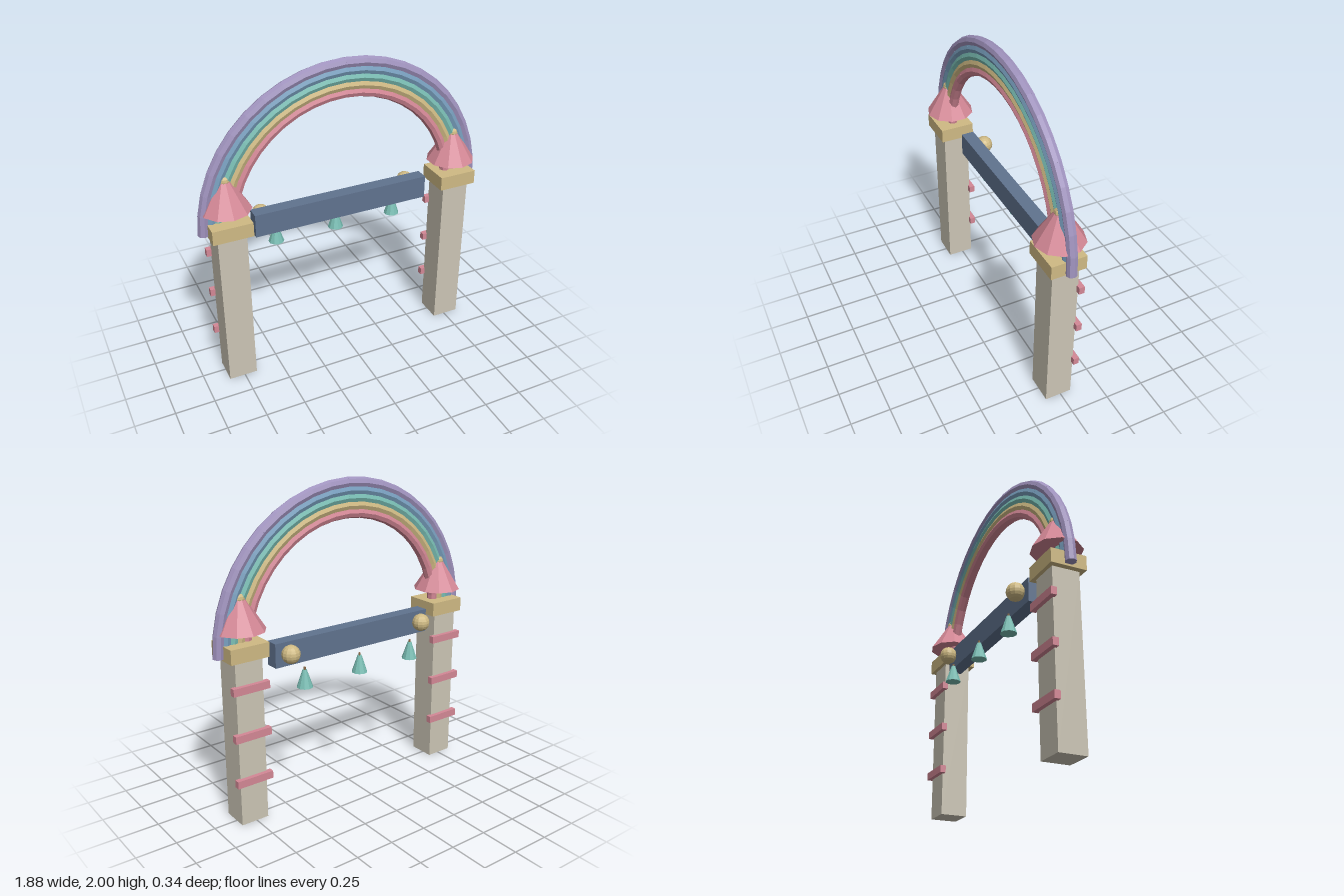
import * as THREE from 'three';

const paint = (name, color) => {
  const m = new THREE.MeshStandardMaterial({ color });
  m.name = name;
  return m;
};

export function createModel() {
  const stone = paint('stone', 0xcbc5b5);
  const gold = paint('gold', 0xcfba84);
  const pink = paint('pink', 0xd48896);
  const teal = paint('teal', 0x79bdb3);
  const blue = paint('blue', 0x789fbe);
  const purple = paint('purple', 0xa093be);
  const slate = paint('slate', 0x60738f);
  const brown = paint('brown', 0x8a6a48);

  const model = new THREE.Group();
  model.name = 'rainbowGate';
  const Z = 0.016; // depth of the pillars and the arch

  const add = (parent, name, geometry, material, x, y, z) => {
    // faceted normals for every part
    const mesh = new THREE.Mesh(geometry.index ? geometry.toNonIndexed() : geometry, material);
    mesh.geometry.computeVertexNormals();
    mesh.name = name;
    mesh.position.set(x, y, z);
    parent.add(mesh);
    return mesh;
  };
  const box = (w, h, d) => new THREE.BoxGeometry(w, h, d);

  // Pillars with caps, roofs, finials and rungs on the back
  for (const side of [-1, 1]) {
    const tower = new THREE.Group();
    tower.name = side > 0 ? 'leftTower' : 'rightTower';
    model.add(tower);
    const x = side * 0.76;
    add(tower, 'pillar', box(0.18, 1.045, 0.172), stone, x, 0.5225, Z);
    add(tower, 'cap', box(0.25, 0.09, 0.224), gold, x, 1.088, Z + 0.002);
    add(tower, 'roof', new THREE.ConeGeometry(0.154, 0.245, 10), pink, x, 1.3225, Z);
    add(tower, 'finial', new THREE.SphereGeometry(0.04, 10, 8), gold, x, 1.388, Z);
    for (const y of [0.29, 0.58, 0.875]) {
      add(tower, 'rung', box(0.24, 0.047, 0.036), pink, x, y, -0.079);
    }
    // Lamp ball behind the beam end
    add(model, 'lampBall', new THREE.SphereGeometry(0.057, 12, 10), gold, side * 0.505, 1.035, -0.117);
  }

  // Cross beam
  add(model, 'beam', box(1.17, 0.15, 0.085), slate, 0, 1.026, -0.033);

  // Bells hanging behind the beam
  for (const x of [-0.412, 0, 0.412]) {
    const bell = new THREE.Group();
    bell.name = 'bell';
    bell.position.set(x, 0, -0.117);
    model.add(bell);
    add(bell, 'bellBody', new THREE.CylinderGeometry(0.013, 0.05, 0.11, 10), teal, 0, 0.865, 0);
    add(bell, 'bellStem', new THREE.CylinderGeometry(0.007, 0.007, 0.04, 6), brown, 0, 0.916, 0);
  }

  // Rainbow arch: five rows of short straight segments
  const count = 22;
  const step = Math.PI / count;
  [purple, blue, teal, gold, pink].forEach((material, row) => {
    const band = new THREE.Group();
    band.name = material.name + 'Band';
    model.add(band);
    const r = 0.908 - row * 0.0452;
    const chord = 2 * r * Math.sin(step / 2);
    for (let i = 0; i < count; i++) {
      const a = (i + 0.5) * step;
      const mid = r * Math.cos(step / 2);
      const segment = add(band, 'bandSegment', new THREE.CylinderGeometry(0.033, 0.033, chord * 1.04, 8),
        material, mid * Math.cos(a), 1.06 + mid * Math.sin(a), Z);
      segment.rotation.z = a;
    }
  });

  return model;
}
